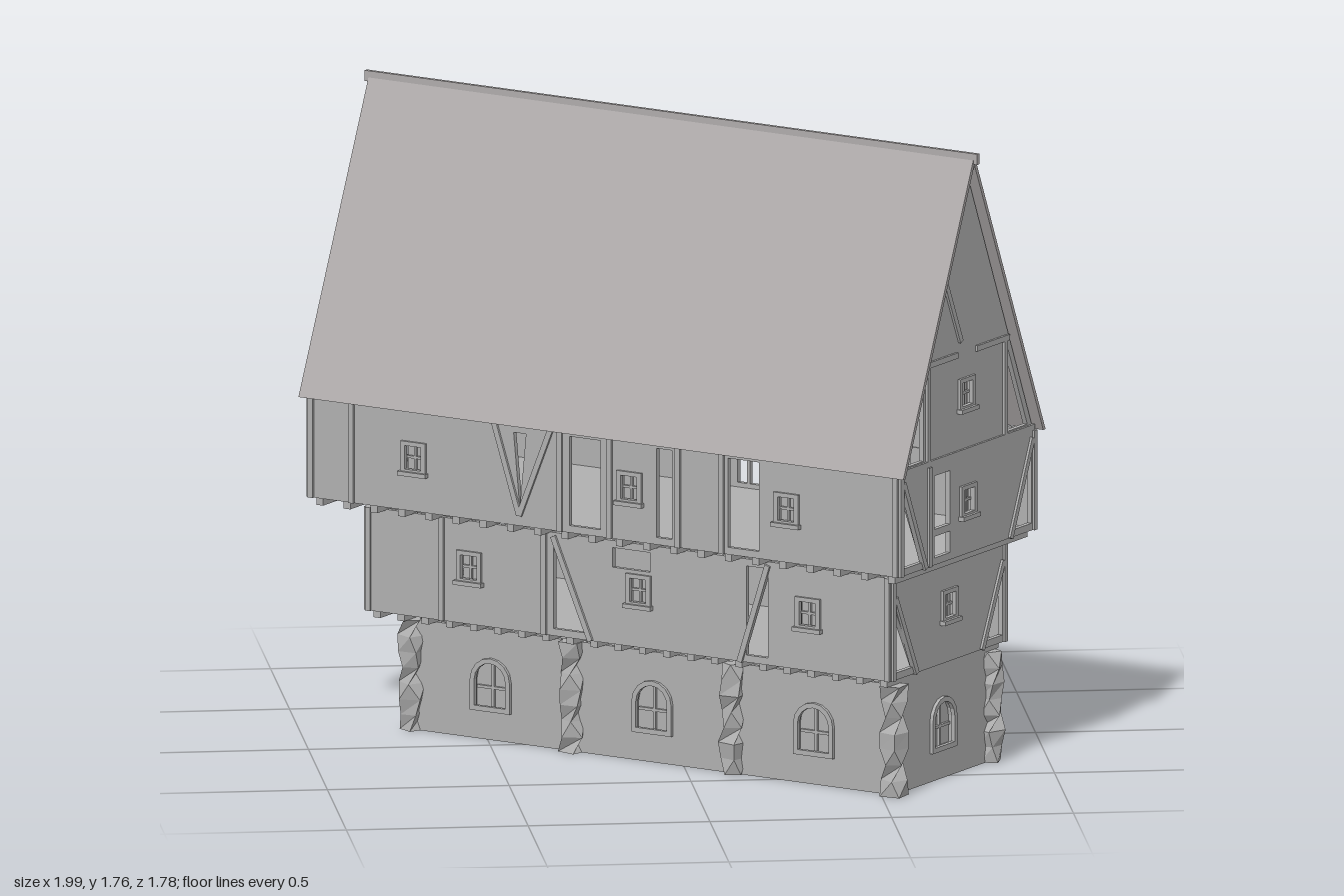
import * as THREE from 'three';

const wallMat = new THREE.MeshStandardMaterial({ color: 0xb0b0b0, side: THREE.DoubleSide, flatShading: true });
wallMat.name = 'plaster grey';
const roofMat = new THREE.MeshStandardMaterial({ color: 0xb0acac, side: THREE.DoubleSide, flatShading: true });
roofMat.name = 'roof grey';

const T = 0.014; // wall thickness

function add(parent, geo, name, x = 0, y = 0, z = 0, mat = wallMat) {
  const m = new THREE.Mesh(geo, mat);
  m.name = name;
  m.position.set(x, y, z);
  parent.add(m);
  return m;
}
const box = (p, name, w, h, d, x, y, z) => add(p, new THREE.BoxGeometry(w, h, d), name, x, y, z);
const poly = (pts, C = THREE.Shape) => new C(pts.map(([x, y]) => new THREE.Vector2(x, y)));
const rect = (x0, y0, x1, y1) => [[x0, y0], [x1, y0], [x1, y1], [x0, y1]];

// Arched outline standing on y, with a round head
function arch(x, y, w, h) {
  const pts = [[x - w / 2, y], [x + w / 2, y]];
  for (let i = 0; i <= 8; i++) {
    const a = Math.PI * i / 8;
    pts.push([x + Math.cos(a) * w / 2, y + h - w / 2 + Math.sin(a) * w / 2]);
  }
  return pts;
}

// Flat plate of any outline with holes; its outer face lies on z = 0
function plate(p, name, outline, holes, depth, z = -depth) {
  const s = poly(outline);
  s.holes = holes.map(h => poly(h, THREE.Path));
  return add(p, new THREE.ExtrudeGeometry(s, { depth, bevelEnabled: false }), name, 0, 0, z);
}

// Timber from one point to another on a face
function timber(p, x0, y0, x1, y1, w = 0.016) {
  const m = box(p, 'timber', w, Math.hypot(x1 - x0, y1 - y0), 0.014, (x0 + x1) / 2, (y0 + y1) / 2, 0);
  m.rotation.z = Math.atan2(x0 - x1, y1 - y0);
}

// Arched window: raised frame, recessed pane, glazing bars
function archWindow(p, x, y) {
  plate(p, 'windowFrame', arch(x, y, 0.128, 0.15), [arch(x, y + 0.014, 0.1, 0.122)], 0.012, -0.002);
  plate(p, 'windowPane', arch(x, y, 0.12, 0.145), [], 0.004, -0.02);
  box(p, 'windowBar', 0.008, 0.12, 0.008, x, y + 0.07, -0.01);
  box(p, 'windowBar', 0.1, 0.008, 0.008, x, y + 0.065, -0.01);
}

// Small square window with a cross, sill and lintel
function smallWindow(p, x, y) {
  plate(p, 'windowFrame', rect(x - 0.04, y - 0.045, x + 0.04, y + 0.045),
    [rect(x - 0.026, y - 0.033, x + 0.026, y + 0.033)], 0.014, -0.006);
  box(p, 'windowPane', 0.06, 0.075, 0.004, x, y, -0.018);
  box(p, 'windowBar', 0.007, 0.07, 0.008, x, y, -0.008);
  box(p, 'windowBar', 0.055, 0.007, 0.008, x, y, -0.008);
  box(p, 'windowSill', 0.09, 0.012, 0.026, x, y - 0.045, 0.004);
}

// One storey wall: outline, openings, windows and timbers
function wall(parent, name, w, h, o) {
  const g = new THREE.Group();
  g.name = name;
  parent.add(g);
  const { holes = [], small = [], arched = [], posts = [], braces = [], outline = rect(-w / 2, 0, w / 2, h) } = o;
  const cuts = [...holes, ...small.map(([x, y]) => rect(x - 0.03, y - 0.037, x + 0.03, y + 0.037)),
    ...arched.map(([x, y]) => arch(x, y + 0.01, 0.11, 0.13))];
  plate(g, 'wallPanel', outline, cuts, T);
  small.forEach(([x, y]) => smallWindow(g, x, y));
  arched.forEach(([x, y]) => archWindow(g, x, y));
  posts.forEach(x => timber(g, x, 0, x, h));
  braces.forEach(b => timber(g, ...b));
  return g;
}

// Four walls around a storey; sides are given as front, back, left end, right end
function storey(parent, name, cx, y, a, b, h, sides) {
  const g = new THREE.Group();
  g.name = name;
  g.position.set(cx, y, 0);
  parent.add(g);
  const place = [[0, 0, b, 0], [0, 0, -b, Math.PI], [a, 0, 0, Math.PI / 2], [-a, 0, 0, -Math.PI / 2]];
  ['frontWall', 'backWall', 'leftEndWall', 'rightEndWall'].forEach((n, i) => {
    const f = wall(g, n, i < 2 ? 2 * a : 2 * b, h, sides[i]);
    f.position.set(...place[i].slice(0, 3));
    f.rotation.y = place[i][3];
  });
  return g;
}

// Rough stone pillar: a box with rings twisted and pinched along its height
function pillar(p, x, z, seed) {
  const geo = new THREE.BoxGeometry(0.058, 0.31, 0.058, 1, 7, 1);
  const pos = geo.attributes.position;
  for (let i = 0; i < pos.count; i++) {
    const k = Math.round((pos.getY(i) / 0.31 + 0.5) * 7);
    const t = 0.5 * Math.sin(k * 2.3 + seed), s = 0.9 + 0.14 * Math.cos(k * 1.9 + seed * 2);
    const px = pos.getX(i) * s, pz = pos.getZ(i) * s;
    pos.setX(i, px * Math.cos(t) - pz * Math.sin(t));
    pos.setZ(i, px * Math.sin(t) + pz * Math.cos(t));
  }
  geo.computeVertexNormals();
  add(p, geo, 'stonePillar', x, 0.155, z);
}

// Overhanging floor carried on joists
function jetty(parent, cx, y, a, b, drop) {
  const g = new THREE.Group();
  g.name = 'jetty';
  g.position.set(cx, y, 0);
  parent.add(g);
  box(g, 'floor', 2 * a - 0.01, 0.006, 2 * b - 0.01, 0, 0.004, 0);
  for (let i = 0; i < 22; i++) {
    box(g, 'joist', 0.022, drop, 2 * b - 0.02, (i / 21 - 0.5) * (2 * a - 0.06), -drop / 2, 0);
  }
}

export function createModel() {
  const root = new THREE.Group();
  root.name = 'timberHouse';
  const house = new THREE.Group();
  house.name = 'house';
  house.rotation.y = -0.658;
  root.add(house);

  // Ground floor with stone pillars and an arched doorway
  const bays = [-0.52, 0, 0.52].map(x => [x, 0.08]);
  const door = [[-0.25, 0], [-0.055, 0], [-0.055, 0.13], [-0.04, 0.175], [0, 0.215],
    [0.04, 0.175], [0.055, 0.13], [0.055, 0], [0.25, 0], [0.25, 0.31], [-0.25, 0.31]];
  storey(house, 'groundFloor', 0.094, 0, 0.775, 0.25, 0.31,
    [{ arched: bays }, { arched: bays }, { arched: [[0, 0.08]] }, { outline: door }]);
  for (let i = 0; i < 4; i++) {
    for (const s of [-1, 1]) pillar(house, 0.094 + (i - 1.5) * 0.517, s * 0.25, i * 1.7 + s);
  }

  // Middle floor
  const corner = (e, w, h, s) => [[s * e, 0.02], [s * (e - w), 0.02], [s * e, h]];
  const H2 = 0.29, H3 = 0.28;
  const end2 = {
    small: [[0, 0.16]], posts: [-0.29, 0.29],
    holes: [corner(0.28, 0.1, 0.2, 1), corner(0.28, 0.1, 0.2, -1)],
    braces: [[0.17, 0, 0.28, 0.23], [-0.17, 0, -0.28, 0.23]],
  };
  storey(house, 'middleFloor', 0.045, 0.33, 0.845, 0.3, H2, [
    { small: [[-0.51, 0.16], [0.035, 0.16], [0.58, 0.16]], posts: [-0.835, -0.6, -0.27, 0.835],
      holes: [rect(0.38, 0.02, 0.45, 0.27), [[-0.24, 0.02], [-0.14, 0.02], [-0.24, 0.25]],
        rect(-0.05, 0.215, 0.07, 0.27)],
      braces: [[-0.12, 0, -0.24, 0.28], [0.36, 0, 0.45, 0.28]] },
    { small: [[-0.53, 0.16], [0.03, 0.16], [0.55, 0.16]], posts: [-0.835, 0.3, 0.835],
      holes: [corner(0.825, 0.13, 0.26, 1), rect(0.5, 0.22, 0.6, 0.27)],
      braces: [[0.69, 0, 0.82, 0.27]] },
    end2, end2]);
  jetty(house, 0.045, 0.33, 0.845, 0.3, 0.02);

  // Upper floor, with several open panels between the timbers
  const end3 = {
    small: [[0.0, 0.15]], posts: [-0.347, -0.2, 0.347],
    holes: [rect(-0.17, 0.02, -0.09, 0.08), rect(-0.17, 0.1, -0.09, 0.25),
      corner(0.335, 0.11, 0.24, 1), corner(0.335, 0.11, 0.24, -1)],
    braces: [[0.22, 0, 0.335, 0.26], [-0.22, 0, -0.335, 0.26]],
  };
  storey(house, 'upperFloor', 0, 0.64, 0.95, 0.355, H3, [
    { small: [[-0.61, 0.15], [0.085, 0.15], [0.59, 0.15]],
      posts: [-0.94, -0.81, -0.14, 0.02, 0.24, 0.38, 0.94],
      holes: [rect(-0.11, 0.02, -0.01, 0.27), rect(0.4, 0.02, 0.5, 0.27), rect(0.17, 0.02, 0.22, 0.27),
        [[-0.27, 0.05], [-0.25, 0.26], [-0.29, 0.26]]],
      braces: [[-0.27, 0.03, -0.35, 0.28], [-0.27, 0.03, -0.17, 0.28]] },
    { small: [[-0.59, 0.15], [-0.085, 0.15], [0.6, 0.15]],
      posts: [-0.94, -0.77, -0.36, -0.22, 0.02, 0.8, 0.94],
      holes: [rect(-0.52, 0.02, -0.39, 0.24), rect(-0.03, 0.02, 0.0, 0.27), rect(-0.14, 0.02, -0.04, 0.09),
        rect(-0.13, 0.21, -0.04, 0.27)],
      braces: [[0.2, 0.28, 0.3, 0.02]] },
    end3, end3]);
  jetty(house, 0, 0.64, 0.95, 0.355, 0.022);

  // Gables
  for (const s of [-1, 1]) {
    const g = wall(house, 'gable', 0.7, 0.8, {
      outline: [[-0.35, 0], [0.35, 0], [0, 0.8]],
      holes: [[[0.22, 0.02], [0.32, 0.02], [0.22, 0.25]], [[-0.22, 0.02], [-0.22, 0.25], [-0.32, 0.02]]],
      small: [[0, 0.17]],
      braces: [[-0.2, 0, -0.2, 0.29], [0.2, 0, 0.2, 0.29], [-0.22, 0.285, -0.05, 0.285],
        [0.05, 0.285, 0.22, 0.285], [-0.03, 0.32, -0.12, 0.52], [-0.35, 0.008, 0.35, 0.008]],
    });
    g.position.set(s * 0.945, 0.92, 0);
    g.rotation.y = s * Math.PI / 2;
  }

  // Steep roof and ridge beam
  const slab = poly([[-0.37, 0.92], [0, 1.76], [0.37, 0.92], [0.358, 0.92], [0, 1.733], [-0.358, 0.92]]);
  const roof = add(house, new THREE.ExtrudeGeometry(slab, { depth: 1.946, bevelEnabled: false }), 'roof', -0.973, 0, 0, roofMat);
  roof.rotation.y = Math.PI / 2;
  const ridge = box(house, 'ridgeBeam', 1.97, 0.03, 0.012, 0, 1.75, 0);
  ridge.material = roofMat;
  return root;
}
